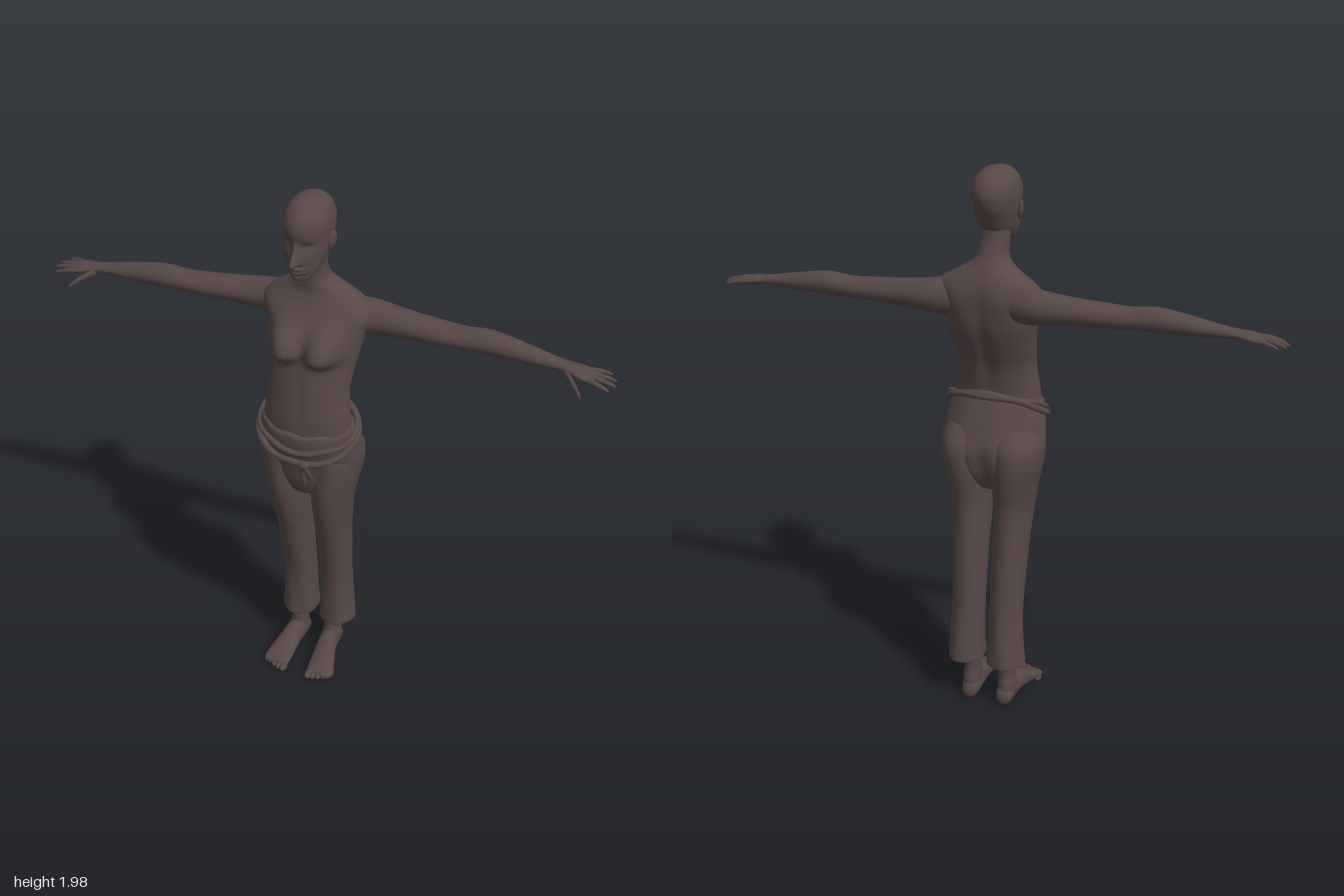
import * as THREE from 'three';

const MAT = new THREE.MeshStandardMaterial({ color: 0x574747 });
MAT.name = 'dark umber';

const mix = (a, b, c, d, t) => 0.5 * (2 * b + (c - a) * t + (2 * a - 5 * b + 4 * c - d) * t * t + (3 * b - a - 3 * c + d) * t ** 3);
const bell = (v, c, w) => Math.exp(-(((v - c) / w) ** 2));

// Smooth closed loft. Section: [position on axis, centre 1, centre 2, radius 1, radius 2]
function loft(name, axis, secs, { seg = 24, sub = 4, warp } = {}) {
  const rings = [];
  for (let i = 0; i < secs.length - 1; i++) {
    const a = secs[Math.max(i - 1, 0)], b = secs[i], c = secs[i + 1], d = secs[Math.min(i + 2, secs.length - 1)];
    for (let k = 0; k < sub; k++) rings.push(b.map((_, j) => mix(a[j], b[j], c[j], d[j], k / sub)));
  }
  rings.push(secs[secs.length - 1]);
  const pts = [], idx = [];
  const put = (t, p, q) => {
    const v = axis === 'y' ? new THREE.Vector3(p, t, q) : axis === 'x' ? new THREE.Vector3(t, p, q) : new THREE.Vector3(p, q, t);
    if (warp) warp(v);
    pts.push(v);
  };
  for (const [t, c1, c2, r1, r2] of rings)
    for (let j = 0; j < seg; j++) {
      const a = (j / seg) * Math.PI * 2;
      put(t, c1 + r1 * Math.cos(a), c2 + r2 * Math.sin(a));
    }
  const last = rings.length - 1;
  put(...rings[0].slice(0, 3));
  put(...rings[last].slice(0, 3));
  const n = rings.length * seg;
  for (let j = 0; j < seg; j++) {
    const k = (j + 1) % seg;
    for (let i = 0; i < last; i++) {
      const a = i * seg + j, b = i * seg + k;
      idx.push(a, a + seg, b, b, a + seg, b + seg);
    }
    idx.push(n, j, k, n + 1, last * seg + k, last * seg + j);
  }
  // Turn the faces outward whatever the axis or mirroring
  let vol = 0;
  const cr = new THREE.Vector3();
  for (let i = 0; i < idx.length; i += 3) vol += pts[idx[i]].dot(cr.crossVectors(pts[idx[i + 1]], pts[idx[i + 2]]));
  if (vol < 0) idx.reverse();
  const g = new THREE.BufferGeometry().setFromPoints(pts);
  g.setIndex(idx);
  g.computeVertexNormals();
  const m = new THREE.Mesh(g, MAT);
  m.name = name;
  return m;
}

function ball(name, x, y, z, rx, ry, rz) {
  const m = new THREE.Mesh(new THREE.SphereGeometry(1, 16, 12), MAT);
  m.name = name;
  m.position.set(x, y, z);
  m.scale.set(rx, ry, rz);
  return m;
}

function rope(name, points, r, closed = false) {
  const c = new THREE.CatmullRomCurve3(points.map(p => new THREE.Vector3(...p)), closed);
  const m = new THREE.Mesh(new THREE.TubeGeometry(c, closed ? 80 : 12, r, 8, closed), MAT);
  m.name = name;
  return m;
}

function makeHead() {
  const g = new THREE.Group();
  g.name = 'head';
  // Face relief: nose, sockets, lips and chin
  const face = v => {
    if (v.z < 0.03) return;
    const x = Math.abs(v.x), { y } = v;
    const slope = THREE.MathUtils.clamp((1.865 - y) / 0.065, 0, 1);
    const tip = THREE.MathUtils.smoothstep(y, 1.782, 1.797);
    v.z += 0.045 * slope * tip * bell(x, 0, 0.008 + 0.007 * slope);
    v.z -= 0.015 * bell(x, 0.033, 0.019) * bell(y, 1.845, 0.014);
    v.z += 0.007 * bell(x, 0.033, 0.014) * bell(y, 1.842, 0.007);
    v.z += 0.012 * bell(x, 0, 0.023) * (bell(y, 1.772, 0.006) + bell(y, 1.758, 0.006));
    v.z += 0.006 * bell(x, 0, 0.02) * bell(y, 1.735, 0.012);
  };
  g.add(loft('skull', 'y', [
    [1.718, 0, 0.065, 0.012, 0.014], [1.728, 0, 0.058, 0.034, 0.037], [1.75, 0, 0.035, 0.051, 0.066],
    [1.78, 0, 0.02, 0.063, 0.086], [1.815, 0, 0.01, 0.071, 0.098], [1.855, 0, -0.002, 0.077, 0.109],
    [1.9, 0, -0.004, 0.079, 0.117], [1.935, 0, -0.004, 0.071, 0.105], [1.96, 0, -0.003, 0.054, 0.08],
    [1.975, 0, -0.002, 0.033, 0.049], [1.982, 0, 0, 0.006, 0.008]], { seg: 96, sub: 9, warp: face }));
  for (const s of [-1, 1]) {
    const ear = ball('ear', s * 0.08, 1.842, 0.003, 0.009, 0.033, 0.02);
    ear.rotation.set(-0.15, s * -0.35, s * -0.15);
    g.add(ear);
  }
  g.position.x = -0.014;
  return g;
}

function makeTorso() {
  // Bust, breastbone, spine and shoulder blades
  const relief = v => {
    if (v.z > 0.02) {
      for (const c of [-0.067, 0.072]) {
        const dy = v.y - 1.467, d = ((v.x - c) / 0.055) ** 2 + (dy / (dy > 0 ? 0.075 : 0.043)) ** 2;
        v.z += 0.06 * Math.exp(-Math.pow(d, 1.4));
      }
      v.z -= 0.006 * bell(v.x, 0, 0.02) * bell(v.y, 1.3, 0.09);
    } else if (v.z < -0.02) {
      v.z += 0.014 * bell(v.x, 0, 0.025) * bell(v.y, 1.4, 0.16);
      v.z -= 0.008 * bell(Math.abs(v.x), 0.085, 0.04) * bell(v.y, 1.53, 0.06);
    }
  };
  return loft('torso', 'y', [
    [1.06, 0, 0.03, 0.15, 0.1], [1.13, 0, 0.04, 0.163, 0.1], [1.2, 0, 0.046, 0.154, 0.094], [1.3, 0, 0.032, 0.143, 0.098],
    [1.375, 0, 0.01, 0.149, 0.108], [1.45, 0.002, -0.013, 0.161, 0.115], [1.52, 0.002, -0.027, 0.174, 0.11],
    [1.575, 0, -0.045, 0.192, 0.094], [1.61, -0.003, -0.053, 0.165, 0.08], [1.64, -0.008, -0.053, 0.118, 0.068],
    [1.668, -0.012, -0.045, 0.075, 0.06], [1.7, -0.014, -0.035, 0.054, 0.052], [1.75, -0.014, -0.022, 0.052, 0.048],
    [1.8, -0.014, -0.015, 0.053, 0.05]], { seg: 96, sub: 8, warp: relief });
}

function makeArm(s) {
  const g = new THREE.Group();
  g.name = s > 0 ? 'leftArm' : 'rightArm';
  // The left arm reaches slightly further back
  const warp = v => {
    if (s > 0) v.z -= 0.022 * THREE.MathUtils.smoothstep(v.x, 0.2, 0.6);
    v.x *= s;
  };
  g.add(loft('armAndPalm', 'x', [
    [0.08, 1.545, -0.055, 0.06, 0.065], [0.15, 1.545, -0.07, 0.064, 0.064], [0.21, 1.545, -0.08, 0.056, 0.057],
    [0.3, 1.543, -0.074, 0.047, 0.051], [0.42, 1.54, -0.063, 0.04, 0.049], [0.5, 1.54, -0.058, 0.037, 0.045],
    [0.58, 1.543, -0.055, 0.041, 0.042], [0.7, 1.535, -0.05, 0.031, 0.035], [0.8, 1.527, -0.045, 0.019, 0.026],
    [0.84, 1.524, -0.042, 0.016, 0.028], [0.88, 1.519, -0.038, 0.015, 0.039], [0.915, 1.514, -0.036, 0.012, 0.041],
    [0.93, 1.512, -0.036, 0.006, 0.034]], { seg: 32, warp }));
  // Rows: base x, y, z and tip x, y, z, radius
  const digits = [
    [0.9, 1.515, -0.066, 0.975, 1.504, -0.085, 0.008], [0.9, 1.516, -0.046, 0.996, 1.502, -0.053, 0.009],
    [0.9, 1.516, -0.026, 1.0, 1.5, -0.024, 0.0095], [0.9, 1.515, -0.007, 0.985, 1.497, 0.008, 0.009],
    [0.835, 1.516, -0.025, 0.908, 1.477, 0.048, 0.012]];
  digits.forEach(([x, y, z, X, Y, Z, r], i) => {
    const at = (t, k) => [x + (X - x) * t, y + (Y - y) * t + 0.004 * Math.sin(t * Math.PI), z + (Z - z) * t, r * k, r * k];
    g.add(loft(i < 4 ? 'finger' : 'thumb', 'x',
      [at(0, 1), at(0.3, 1.05), at(0.6, 0.9), at(0.88, 0.72), at(0.97, 0.45), at(1, 0.08)], { seg: 10, sub: 2, warp }));
  });
  return g;
}

function makeLeg(s) {
  const g = new THREE.Group();
  g.name = s > 0 ? 'leftLeg' : 'rightLeg';
  // Loose cloth folds that grow toward the hem
  const folds = v => {
    const a = Math.atan2(v.z + 0.07, v.x - 0.075);
    const k = 1 + 0.035 * bell(v.y, 0.18, 0.2) * Math.sin(a * 5 + v.y * 9);
    v.x = s * (0.075 + (v.x - 0.075) * k) - 0.004;
    v.z = -0.07 + (v.z + 0.07) * k;
  };
  g.add(loft('trouserLeg', 'y', [
    [0.2, 0.077, -0.08, 0.045, 0.055], [0.178, 0.077, -0.08, 0.062, 0.07], [0.18, 0.077, -0.08, 0.069, 0.076],
    [0.25, 0.076, -0.077, 0.065, 0.071], [0.4, 0.073, -0.066, 0.061, 0.066], [0.6, 0.076, -0.038, 0.063, 0.082],
    [0.7, 0.077, -0.02, 0.066, 0.093], [0.8, 0.08, -0.006, 0.071, 0.106], [0.88, 0.084, -0.007, 0.08, 0.12],
    [0.96, 0.092, -0.012, 0.089, 0.127], [1.03, 0.094, -0.009, 0.09, 0.125], [1.09, 0.085, 0.01, 0.075, 0.1]],
    { seg: 48, sub: 5, warp: folds }));
  const side = v => { v.x = s * v.x - 0.016; };
  g.add(loft('ankle', 'y', [
    [0.05, 0.07, -0.072, 0.034, 0.05], [0.09, 0.069, -0.073, 0.034, 0.047], [0.13, 0.068, -0.073, 0.03, 0.041],
    [0.25, 0.07, -0.075, 0.037, 0.046]], { warp: side }));
  g.add(loft('foot', 'z', [
    [-0.13, 0.068, 0.034, 0.008, 0.01], [-0.122, 0.068, 0.036, 0.024, 0.028], [-0.1, 0.068, 0.042, 0.033, 0.04],
    [-0.05, 0.069, 0.055, 0.036, 0.052], [0, 0.074, 0.053, 0.039, 0.048], [0.05, 0.082, 0.038, 0.046, 0.033],
    [0.09, 0.088, 0.026, 0.051, 0.022], [0.118, 0.09, 0.02, 0.049, 0.015], [0.13, 0.09, 0.018, 0.04, 0.009]],
    { warp: v => { v.y = Math.max(v.y, 0.003); side(v); } }));
  for (let i = 0; i < 5; i++)
    g.add(ball('toe', s * (0.053 + i * 0.0195) - 0.016, 0.015 - i * 0.0005, 0.132 - i * i * 0.0024,
      i ? 0.0105 : 0.015, i ? 0.0125 : 0.015, i ? 0.023 : 0.025));
  return g;
}

export function createModel() {
  const model = new THREE.Group();
  model.name = 'figure';
  model.add(makeHead(), makeTorso());
  for (const s of [-1, 1]) model.add(makeArm(s), makeLeg(s));

  // Trouser seat, its waist higher at the back, with a rear cleft
  model.add(loft('trouserSeat', 'y', [
    [0.845, -0.004, 0.0, 0.05, 0.05], [0.87, -0.004, 0, 0.11, 0.088], [0.93, -0.002, -0.006, 0.165, 0.118],
    [1.01, 0, -0.004, 0.188, 0.131], [1.08, 0, 0.02, 0.183, 0.127], [1.13, 0, 0.036, 0.175, 0.117],
    [1.17, 0, 0.045, 0.167, 0.107], [1.178, 0, 0.045, 0.155, 0.095]], {
    seg: 64, sub: 5, warp: v => {
      if (v.z < -0.03) v.z += 0.02 * bell(v.x, 0, 0.025) * bell(v.y, 0.96, 0.08);
      const k = THREE.MathUtils.smoothstep(v.y, 1.05, 1.17);
      v.y -= k * (0.2 * (v.z - 0.04) + 0.004 * Math.sin(v.x * 60));
    } }));

  // Two sash cords slanting from the back waist down to the front
  const cord = (lift, slope, grow, wave) => Array.from({ length: 24 }, (_, i) => {
    const a = (i / 24) * Math.PI * 2, dz = 0.117 * Math.sin(a);
    return [(0.174 + grow) * Math.cos(a), 1.136 + lift - slope * dz + wave * Math.sin(a * 5), 0.041 + dz * (1 + grow * 8)];
  });
  model.add(rope('lowerSash', cord(-0.004, 0.66, 0.005, 0.003), 0.012, true));
  model.add(rope('upperSash', cord(0.018, 0.5, 0, -0.004), 0.011, true));

  // Knot with hanging ends
  model.add(ball('sashKnot', 0.036, 1.055, 0.166, 0.019, 0.018, 0.013));
  for (const dx of [-0.012, 0.01])
    model.add(rope('sashEnd', [[0.036, 1.05, 0.163], [0.036 + dx, 1.02, 0.156], [0.038 + dx, 0.975 + dx, 0.139]], 0.009));
  return model;
}
